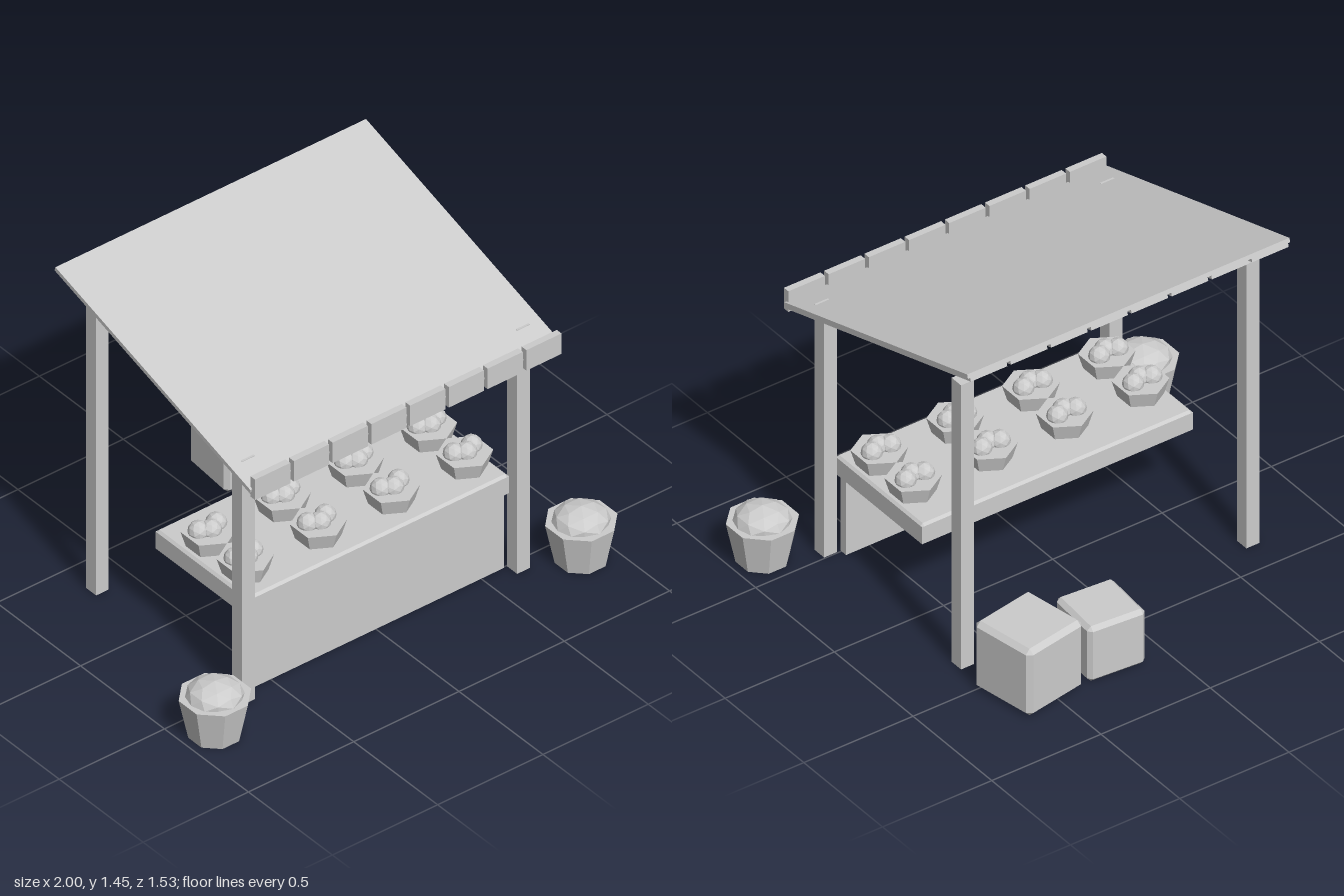
import * as THREE from 'three';
import { ConvexGeometry } from 'three/addons/geometries/ConvexGeometry.js';

const mat = new THREE.MeshStandardMaterial({ color: 0xcccccc });
mat.name = 'plainGrey';
mat.flatShading = true;

function add(parent, name, geo, x = 0, y = 0, z = 0) {
  const mesh = new THREE.Mesh(geo, mat);
  mesh.name = name;
  mesh.position.set(x, y, z);
  parent.add(mesh);
  return mesh;
}
const box = (w, h, d) => new THREE.BoxGeometry(w, h, d);

// Box with all edges cut by c
function chamferBox(w, h, d, c) {
  const pts = [];
  for (const sx of [-1, 1]) for (const sy of [-1, 1]) for (const sz of [-1, 1]) {
    const x = w / 2, y = h / 2, z = d / 2;
    pts.push(new THREE.Vector3(sx * x, sy * (y - c), sz * (z - c)));
    pts.push(new THREE.Vector3(sx * (x - c), sy * y, sz * (z - c)));
    pts.push(new THREE.Vector3(sx * (x - c), sy * (y - c), sz * z));
  }
  return new ConvexGeometry(pts);
}

export function createModel() {
  const stall = new THREE.Group();
  stall.name = 'marketStall';

  // Posts
  for (const s of [-1, 1]) {
    add(stall, 'frontPost', box(0.06, 1.13, 0.06), s * 0.653, 0.565, 0.535);
    add(stall, 'backPost', box(0.06, 1.305, 0.06), s * 0.653, 0.6525, -0.335);
  }

  // Sloping roof: a sheet over eight strips
  const roof = new THREE.Group();
  roof.name = 'roof';
  roof.position.set(0, 1.253, 0.0965);
  roof.rotation.x = 0.296;
  stall.add(roof);
  add(roof, 'roofSheet', box(1.475, 0.018, 1.214), 0, 0.0075, 0);
  for (let i = 0; i < 8; i++) {
    const x = (i - 3.5) * 0.184;
    add(roof, 'roofStrip', box(0.167, 0.015, 1.214), x, -0.009, 0);
    add(stall, 'valanceFlap', box(0.167, 0.095, 0.028), x, 1.097, 0.684);
  }

  // Counter: top, hollow apron and front panel
  const counter = new THREE.Group();
  counter.name = 'counter';
  stall.add(counter);
  add(counter, 'counterTop', chamferBox(1.24, 0.03, 0.55, 0.01), 0, 0.423, 0.245);
  for (const s of [-1, 1]) {
    add(counter, 'sideApron', box(0.02, 0.078, 0.55), s * 0.61, 0.389, 0.245);
    add(counter, 'longApron', box(1.2, 0.078, 0.02), 0, 0.389, 0.245 + s * 0.265);
  }
  add(counter, 'frontPanel', box(1.215, 0.36, 0.035), 0, 0.18, 0.4875);

  // Produce baskets in two rows of four
  const fruit = new THREE.IcosahedronGeometry(0.042, 1);
  const basketGeo = new THREE.CylinderGeometry(0.108, 0.088, 0.067, 6);
  for (const z of [0.38, 0.165]) for (let i = 0; i < 4; i++) {
    const basket = new THREE.Group();
    basket.name = 'produceBasket';
    basket.position.set((i - 1.5) * 0.347, 0.438, z);
    stall.add(basket);
    add(basket, 'basket', basketGeo, 0, 0.0335, 0);
    for (let k = -1; k <= 1; k++)
      add(basket, 'fruit', fruit, k * 0.042, 0.075, k === 0 ? 0.011 : -0.011);
  }

  // Floor tubs with heaped goods
  const tubGeo = new THREE.CylinderGeometry(0.14, 0.103, 0.178, 8).rotateY(Math.PI / 8);
  const heapGeo = new THREE.IcosahedronGeometry(0.112, 1).scale(1, 0.58, 1);
  for (const s of [-1, 1]) {
    add(stall, 'floorTub', tubGeo, s * 0.87, 0.089, 0.637);
    add(stall, 'tubHeap', heapGeo, s * 0.87, 0.178, 0.637);
  }

  // Crates behind the stall
  add(stall, 'largeCrate', chamferBox(0.294, 0.305, 0.294, 0.02), 0.542, 0.1525, -0.6).rotation.y = 0.175;
  add(stall, 'smallCrate', chamferBox(0.25, 0.25, 0.25, 0.017), 0.217, 0.125, -0.605).rotation.y = -0.08;

  return stall;
}
